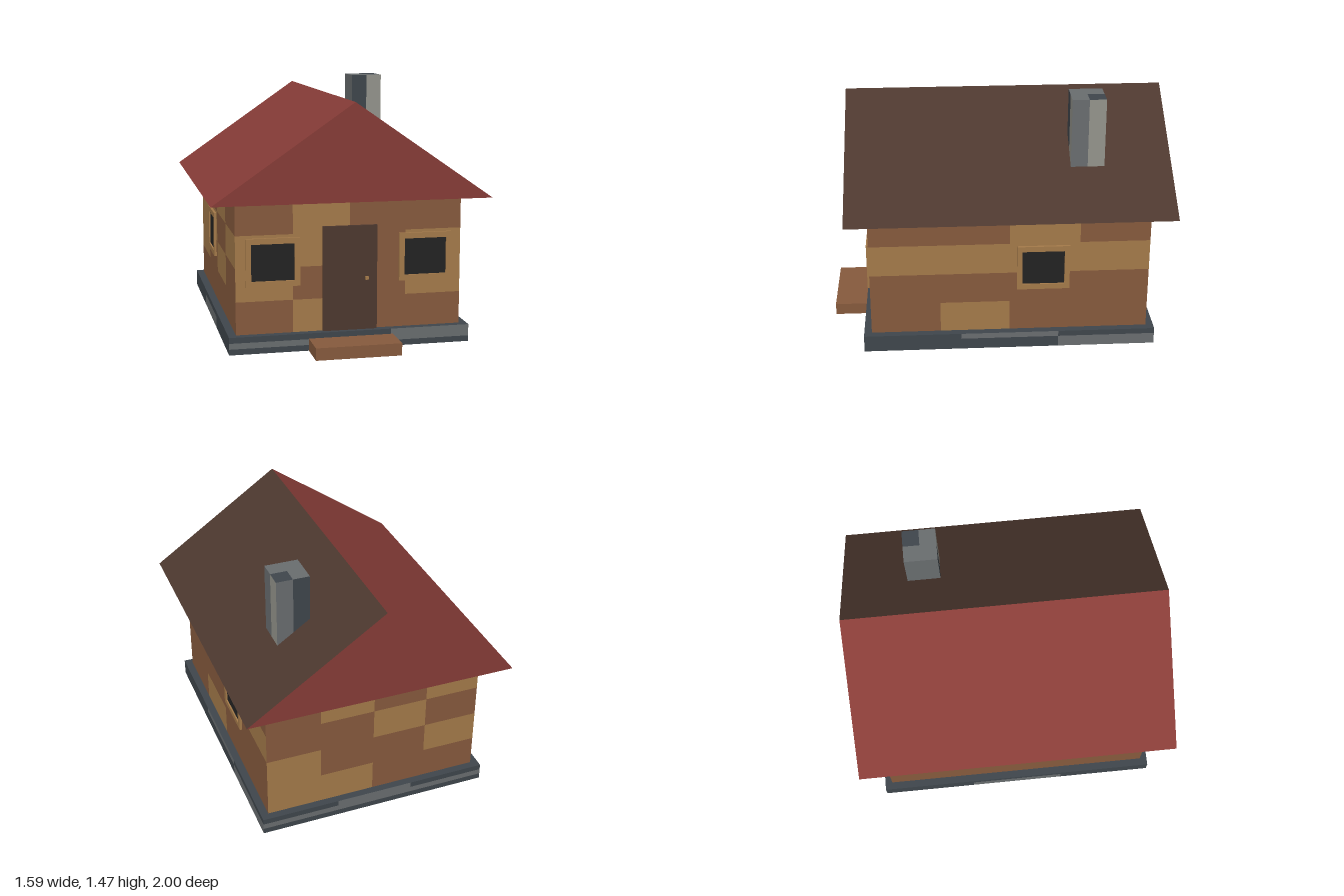
import * as THREE from 'three';

const material = (name, color) => {
  const m = new THREE.MeshStandardMaterial({ color });
  m.name = name;
  return m;
};

export function createModel() {
  const house = new THREE.Group();
  house.name = 'house';

  const mats = {
    B: material('brown', 0x865a3d),
    T: material('tan', 0xa47a4a),
    D: material('slate', 0x3f464c),
    G: material('grey', 0x696d6f),
    L: material('paleGrey', 0x94948c),
    R: material('roofRed', 0x873c37),
    W: material('darkWood', 0x4d382f),
    K: material('glass', 0x232323),
  };

  const add = (parent, name, geometry, mat, x = 0, y = 0, z = 0) => {
    const mesh = new THREE.Mesh(geometry, mat);
    mesh.name = name;
    mesh.position.set(x, y, z);
    parent.add(mesh);
    return mesh;
  };

  // Box whose faces are grids of coloured cells; each row is a string, top row first
  const patchedBox = (name, min, max, faces) => {
    const group = new THREE.Group();
    group.name = name;
    const [w, h, d] = max.map((v, i) => v - min[i]);
    group.position.set(...max.map((v, i) => (v + min[i]) / 2));
    const layout = {
      front: [w, h, 0, 0, [0, 0, d / 2]],
      right: [d, h, 0, Math.PI / 2, [w / 2, 0, 0]],
      back: [w, h, 0, Math.PI, [0, 0, -d / 2]],
      left: [d, h, 0, -Math.PI / 2, [-w / 2, 0, 0]],
      top: [w, d, -Math.PI / 2, 0, [0, h / 2, 0]],
      bottom: [w, d, Math.PI / 2, 0, [0, -h / 2, 0]],
    };
    for (const [side, rows] of Object.entries(faces)) {
      const [fw, fh, rx, ry, pos] = layout[side];
      const geometry = new THREE.PlaneGeometry(fw, fh, rows[0].length, rows.length);
      const cells = [...rows.join('')];
      const letters = [...new Set(cells)];
      cells.forEach((c, i) => geometry.addGroup(i * 6, 6, letters.indexOf(c)));
      const mesh = add(group, name + '_' + side, geometry, letters.map((c) => mats[c]), ...pos);
      mesh.rotation.set(rx, ry, 0);
    }
    house.add(group);
  };

  // Stone foundation
  patchedBox('foundation', [-0.695, 0, -0.915], [0.695, 0.1, 0.805], {
    front: ['DDG', 'GGG', 'DDD'],
    right: ['DGD', 'DDG', 'DDG'],
    back: ['DGD', 'GGG', 'DDD'],
    left: ['DDD', 'DGD', 'DGD'],
    top: ['DDD', 'DDD', 'DDD'],
    bottom: ['DDG', 'DDD', 'GDD'],
  });

  // Walls with a patchwork of brown and tan
  patchedBox('walls', [-0.65, 0.1, -0.87], [0.65, 0.85, 0.76], {
    front: ['BTBB', 'TTBT', 'TBBT', 'BTBB'],
    right: ['BBTB', 'TTTT', 'BBBB', 'BTBB'],
    back: ['BTBT', 'BBTB', 'TBBT', 'TTBB'],
    left: ['TBTB', 'TTBT', 'TBTB', 'BBBB'],
  });

  // Chimney, sunk into the roof slope
  patchedBox('chimney', [0.29, 1.02, -0.61], [0.485, 1.47, -0.415], {
    front: ['DL'],
    right: ['GL'],
    back: ['GD'],
    left: ['GG'],
    top: ['GD', 'GG'],
  });

  // Roof: red prism with one dark slope
  const gable = new THREE.Shape([
    new THREE.Vector2(-0.795, 0.85),
    new THREE.Vector2(0.795, 0.85),
    new THREE.Vector2(0, 1.4),
  ]);
  const roof = new THREE.ExtrudeGeometry(gable, { depth: 1.885, bevelEnabled: false }).toNonIndexed();
  roof.clearGroups();
  const normal = roof.attributes.normal;
  for (let i = 0; i < normal.count; i += 3) {
    const darkSlope = normal.getX(i) > 0.1;
    roof.addGroup(i, 3, darkSlope ? 1 : 0);
  }
  add(house, 'roof', roof, [mats.R, mats.W], 0, 0, -1);

  // Windows: frame with a hole and a recessed pane, facing +z before turning
  const rectangle = (Type, w, h) => new Type([
    new THREE.Vector2(-w / 2, -h / 2),
    new THREE.Vector2(w / 2, -h / 2),
    new THREE.Vector2(w / 2, h / 2),
    new THREE.Vector2(-w / 2, h / 2),
  ]);
  const addWindow = (name, x, z, turn) => {
    const group = new THREE.Group();
    group.name = name;
    const frame = rectangle(THREE.Shape, 0.307, 0.275);
    frame.holes.push(rectangle(THREE.Path, 0.245, 0.21));
    add(group, 'windowFrame', new THREE.ExtrudeGeometry(frame, { depth: 0.015, bevelEnabled: false }), mats.T);
    add(group, 'windowPane', new THREE.BoxGeometry(0.246, 0.211, 0.006), mats.K, 0, 0, 0.003);
    group.position.set(x, 0.508, z);
    group.rotation.y = turn;
    house.add(group);
  };
  for (const s of [-1, 1]) {
    addWindow(s > 0 ? 'frontLeftWindow' : 'frontRightWindow', s * 0.44, 0.76, 0);
    addWindow(s > 0 ? 'leftWindow' : 'rightWindow', s * 0.65, -0.25, s * Math.PI / 2);
  }

  // Door, knob and doorstep
  add(house, 'door', new THREE.BoxGeometry(0.312, 0.6, 0.03), mats.W, 0, 0.4, 0.762);
  add(house, 'doorKnob', new THREE.BoxGeometry(0.018, 0.018, 0.018), mats.T, 0.095, 0.398, 0.783);
  add(house, 'doorstep', new THREE.BoxGeometry(0.488, 0.07, 0.197), mats.B, 0, 0.035, 0.9015);

  return house;
}
